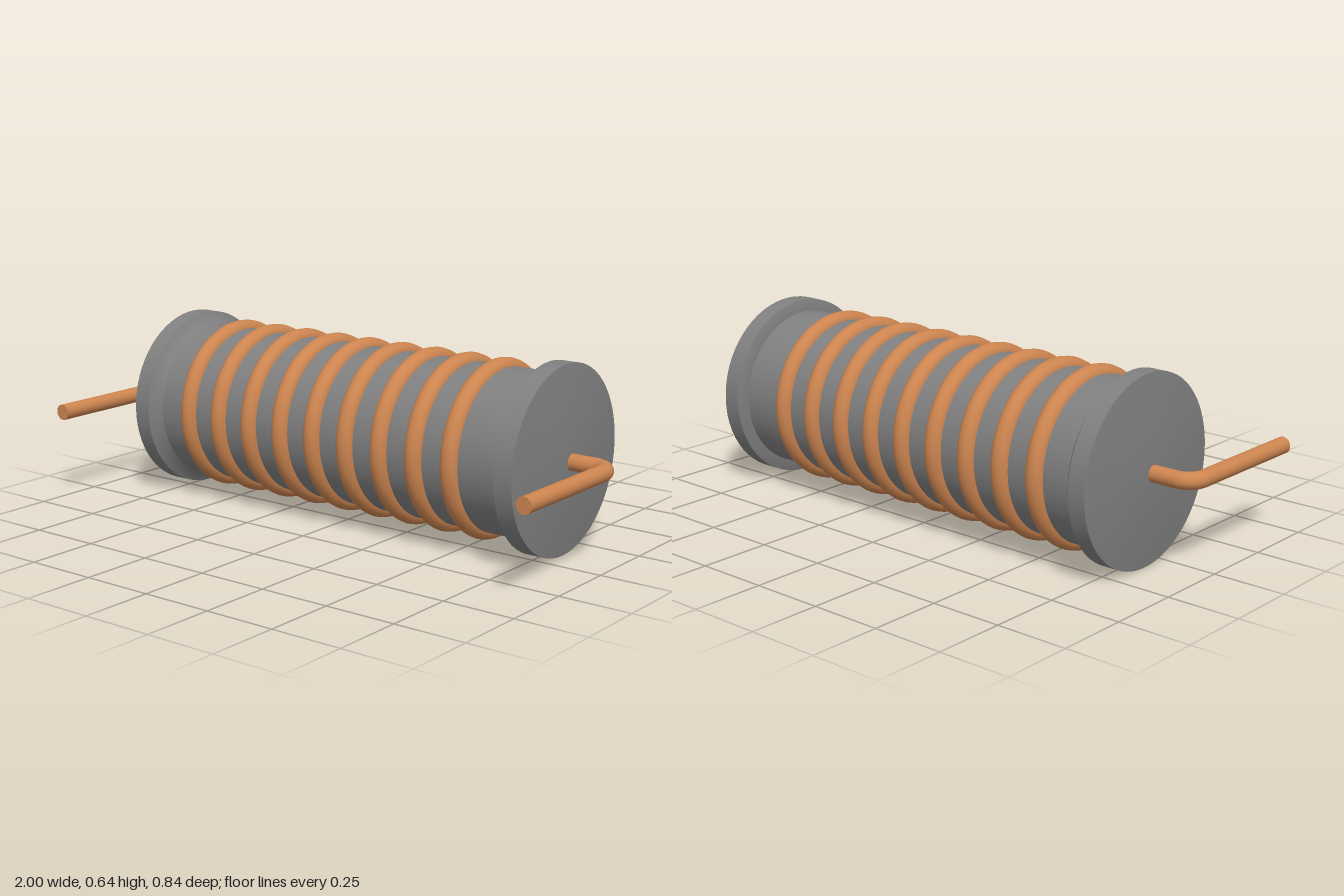
import * as THREE from 'three';
import { toCreasedNormals } from 'three/addons/utils/BufferGeometryUtils.js';

const AXIS_Y = 0.32, AXIS_Z = -0.1;
const CORE_R = 0.277, FLANGE_R = 0.318;
const WIRE_R = 0.028;

export function createModel() {
  const model = new THREE.Group();
  model.name = 'woundCoil';
  const grey = new THREE.MeshStandardMaterial({ color: 0x808080 });
  const copper = new THREE.MeshStandardMaterial({ color: 0xcd8550 });

  const add = (name, geometry, material) => {
    const mesh = new THREE.Mesh(geometry, material);
    mesh.name = name;
    model.add(mesh);
    return mesh;
  };

  // Turned part about the x axis; profile of [x, radius] with x rising
  const turned = (name, profile) => {
    const points = profile.map(([x, r]) => new THREE.Vector2(r, x));
    const geometry = new THREE.LatheGeometry(points, 64).rotateZ(-Math.PI / 2);
    add(name, toCreasedNormals(geometry, 0.5), grey).position.set(0, AXIS_Y, AXIS_Z);
  };

  // Core and flanged ends with shallow domed faces
  turned('core', [[-0.72, CORE_R], [0.74, CORE_R]]);
  turned('rightFlange', [
    [-0.828, 0], [-0.827, 0.06], [-0.818, 0.19], [-0.803, FLANGE_R],
    [-0.741, FLANGE_R], [-0.727, 0.291], [-0.708, CORE_R],
  ]);
  turned('leftFlange', [
    [0.725, CORE_R], [0.727, 0.295], [0.735, FLANGE_R], [0.801, FLANGE_R],
    [0.817, 0.19], [0.826, 0.06], [0.827, 0],
  ]);

  // Evenly spaced wire turns
  for (let i = 0; i < 9; i++) {
    const ring = new THREE.TorusGeometry(0.27, 0.034, 16, 64).rotateY(Math.PI / 2);
    add('wireTurn' + (i + 1), ring, copper).position.set(-0.579 + i * 0.14, AXIS_Y, AXIS_Z);
  }

  // Bent leads running out of each end, then forward
  const outX = 0.972, endZ = 0.418, bend = 0.06;
  for (const [name, s] of [['leftLead', 1], ['rightLead', -1]]) {
    const at = (x, z) => new THREE.Vector3(s * x, AXIS_Y, z);
    const k = bend * 0.45;
    const parts = [
      new THREE.TubeGeometry(new THREE.LineCurve3(at(0.8, AXIS_Z), at(outX - bend, AXIS_Z)), 1, WIRE_R, 24),
      new THREE.TubeGeometry(new THREE.CubicBezierCurve3(
        at(outX - bend, AXIS_Z), at(outX - k, AXIS_Z),
        at(outX, AXIS_Z + k), at(outX, AXIS_Z + bend)), 10, WIRE_R, 24),
      new THREE.TubeGeometry(new THREE.LineCurve3(at(outX, AXIS_Z + bend), at(outX, endZ)), 1, WIRE_R, 24),
    ];
    ['Root', 'Bend', 'Leg'].forEach((part, i) => add(name + part, parts[i], copper));
    add(name + 'Tip', new THREE.CircleGeometry(WIRE_R, 24), copper).position.copy(at(outX, endZ));
  }
  return model;
}
